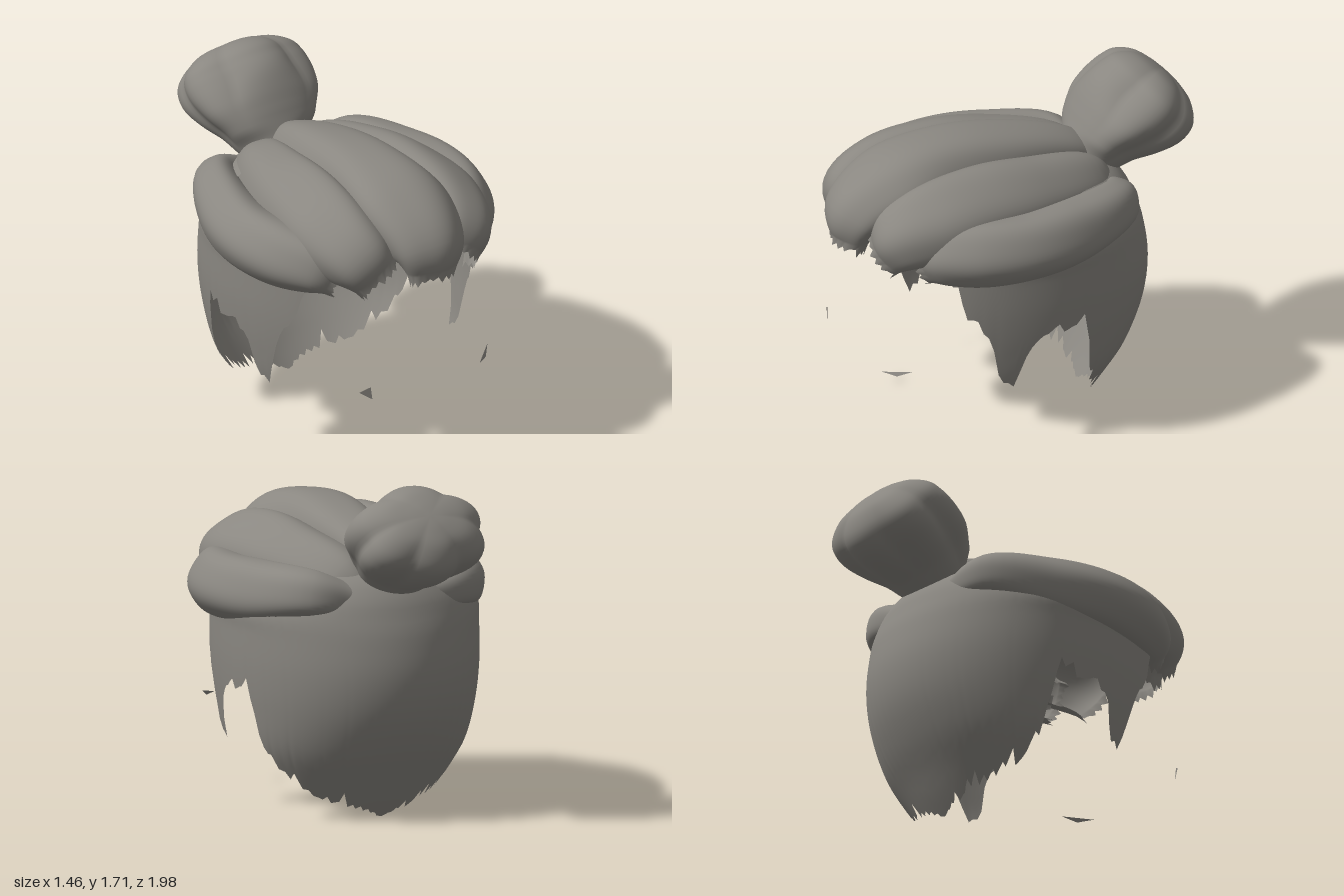
import * as THREE from 'three';
import { mergeVertices } from 'three/addons/utils/BufferGeometryUtils.js';

const { smoothstep, lerp, degToRad, clamp } = THREE.MathUtils;
const hair = new THREE.MeshStandardMaterial({ color: 0x8a8781, side: THREE.DoubleSide });
hair.name = 'ash hair';

// Smooth surface from a function of two grid indices
function surface(name, nu, nv, point) {
  const positions = [], index = [];
  for (let j = 0; j <= nv; j++)
    for (let i = 0; i <= nu; i++) positions.push(...point(i / nu, j / nv).toArray());
  for (let j = 0; j < nv; j++)
    for (let i = 0; i < nu; i++) {
      const a = j * (nu + 1) + i, b = a + 1, c = a + nu + 1, d = c + 1;
      index.push(a, c, b, b, c, d);
    }
  let geometry = new THREE.BufferGeometry();
  geometry.setAttribute('position', new THREE.Float32BufferAttribute(positions, 3));
  geometry.setIndex(index);
  geometry = mergeVertices(geometry, 1e-4);
  geometry.computeVertexNormals();
  const mesh = new THREE.Mesh(geometry, hair);
  mesh.name = name;
  return mesh;
}

// Value of column k at x in a table sorted by its first column, linear or smooth
function lookup(table, x, k, smooth = true) {
  let i = 0;
  while (i < table.length - 2 && x > table[i + 1][0]) i++;
  const [p, q] = [table[i], table[i + 1]];
  const h = q[0] - p[0], t = clamp((x - p[0]) / h, 0, 1);
  if (!smooth) return p[k] + (q[k] - p[k]) * t;
  const before = table[Math.max(i - 1, 0)], after = table[Math.min(i + 2, table.length - 1)];
  const m0 = (q[k] - before[k]) / (q[0] - before[0]) * h;
  const m1 = (after[k] - p[k]) / (after[0] - p[0]) * h;
  const t2 = t * t, t3 = t2 * t;
  return (2 * t3 - 3 * t2 + 1) * p[k] + (t3 - 2 * t2 + t) * m0 + (3 * t2 - 2 * t3) * q[k] + (t3 - t2) * m1;
}

// Repeatable uneven teeth, 0 to 1, for torn edges
const tooth = n => {
  const value = Math.abs(Math.sin(Math.floor(n / 3) * 12.9898) * 43.758) % 1;
  return value * (1 - (n % 3) / 3);
};

// Scalp: height, half width, depth to the back, depth to the front
const scalp = [
  [0, 0.38, 0.37, 0.7], [0.1, 0.43, 0.44, 0.76], [0.2, 0.5, 0.5, 0.8], [0.35, 0.58, 0.595, 0.84],
  [0.55, 0.62, 0.68, 0.86], [0.75, 0.64, 0.705, 0.87], [0.95, 0.645, 0.675, 0.86],
  [1.05, 0.645, 0.64, 0.83], [1.15, 0.59, 0.595, 0.77], [1.25, 0.46, 0.5, 0.62], [1.32, 0.28, 0.32, 0.4], [1.36, 0, 0, 0],
];
// Hairline: degrees from the nape round to the temple, lower edge height
const hairline = [
  [0, 0], [22, 0.04], [45, 0.09], [62, 0.18], [70, 0.28], [74, 0.4], [76, 0.53], [79, 0.66], [86, 0.63],
  [94, 0.63], [100, 0.58], [103, 0.48], [106, 0.34], [109, 0.32], [113, 0.46], [116, 0.63],
  [121, 0.72], [125, 0.76], [127, 0.9], [135, 0.98], [142, 1.04],
];

// Back and sides, running up under the locks
function makeScalp() {
  const columns = 150;
  return surface('scalpHair', columns, 36, (u, v) => {
    const degrees = (u * 2 - 1) * 142, around = Math.abs(degrees), angle = degToRad(degrees);
    const jag = 0.09 * tooth(Math.round(u * columns)) * Math.min(1, around / 25);
    const top = lerp(1.33, 1.1, smoothstep(around, 50, 85));
    const edge = Math.min(lookup(hairline, around, 1, false) + jag, top);
    const y = lerp(edge, top, Math.sin(v * Math.PI / 2));
    const depth = lookup(scalp, y, Math.cos(angle) > 0 ? 2 : 3);
    return new THREE.Vector3(lookup(scalp, y, 1) * Math.sin(angle), y, -depth * Math.cos(angle));
  });
}

// Lock: stations of x, y, z, half width, half thickness; an open arch swept from bun to a torn end at the brow
function makeLock(name, stations, side) {
  const path = new THREE.CatmullRomCurve3(stations.map(s => new THREE.Vector3(s[0] * side, s[1], s[2])));
  const sizes = stations.map((s, i) => [i / (stations.length - 1), s[3], s[4]]);
  const sides = 36;
  return surface(name, sides, 44, (u, v) => {
    const centre = path.getPoint(v), along = path.getTangent(v);
    const out = centre.clone().sub(new THREE.Vector3(0, 0.9, 0));
    const across = along.clone().cross(out).normalize();
    const normal = across.clone().cross(along).normalize();
    const angle = degToRad(lerp(-35, 215, u));
    const fold = 1 + 0.025 * Math.sin(angle * 5 + v * 5 + side);
    const tear = v === 1 ? 0.05 * tooth(Math.round(u * sides)) : 0;
    return centre
      .addScaledVector(across, Math.cos(angle) * lookup(sizes, v, 1) * fold)
      .addScaledVector(normal, Math.sin(angle) * lookup(sizes, v, 2) * fold)
      .addScaledVector(along, tear);
  });
}

const centreLock = [
  [0, 1.2, -0.5, 0.08, 0.08], [0, 1.29, -0.3, 0.14, 0.12], [0, 1.36, 0, 0.19, 0.14],
  [0, 1.39, 0.35, 0.22, 0.15], [0.01, 1.34, 0.65, 0.25, 0.15], [0.02, 1.2, 0.855, 0.2, 0.14], [0.02, 1.07, 0.89, 0.13, 0.08],
];
const upperLock = [
  [0.12, 1.14, -0.46, 0.07, 0.06], [0.2, 1.22, -0.35, 0.14, 0.1], [0.3, 1.27, 0, 0.19, 0.13],
  [0.345, 1.29, 0.3, 0.21, 0.13], [0.35, 1.25, 0.55, 0.21, 0.14], [0.3, 1.17, 0.73, 0.175, 0.14], [0.24, 1.08, 0.79, 0.13, 0.08],
];
const sideLock = [
  [0.22, 1.13, -0.47, 0.08, 0.07], [0.4, 1.165, -0.42, 0.12, 0.1], [0.54, 1.14, -0.12, 0.16, 0.13],
  [0.585, 1.13, 0.15, 0.165, 0.14], [0.54, 1.12, 0.39, 0.165, 0.14], [0.45, 1.1, 0.57, 0.14, 0.11], [0.38, 1.06, 0.63, 0.11, 0.07],
];

// Bun: lobed, oval ball on a flared neck, leaning back by 45 degrees
function makeBun() {
  const profile = new THREE.SplineCurve([
    [0.14, 0.07], [0.16, 0.12], [0.19, 0.2], [0.235, 0.3], [0.265, 0.4], [0.265, 0.48], [0.24, 0.55], [0.17, 0.61], [0.08, 0.635], [0, 0.64],
  ].map(p => new THREE.Vector2(...p)));
  const bun = surface('bun', 72, 40, (u, v) => {
    const p = profile.getPoint(v), angle = u * Math.PI * 2;
    const lobe = Math.abs(Math.cos(3 * (angle - Math.PI / 2) + 0.4 * Math.cos(angle)));
    const r = p.x * (1 + 0.13 * (lobe - 0.8) * smoothstep(v, 0.1, 0.5));
    const lift = 0.05 * clamp((0.5 - p.y) / 0.3, 0, 1);
    const cheek = 0.35 * Math.max(0, Math.sin(angle)) * smoothstep(p.y, 0.08, 0.16) * (1 - smoothstep(p.y, 0.22, 0.45));
    return new THREE.Vector3(Math.cos(angle) * r * (1.3 + 1.5 * cheek), p.y, Math.sin(angle) * r + lift);
  });
  bun.position.set(-0.035, 1.15, -0.42);
  bun.rotation.x = -Math.PI / 4;
  return bun;
}

// Loose wisps in front of the cheeks
function makeWisp(name, corners) {
  const geometry = new THREE.BufferGeometry();
  geometry.setAttribute('position', new THREE.Float32BufferAttribute(corners.flat(), 3));
  geometry.computeVertexNormals();
  const mesh = new THREE.Mesh(geometry, hair);
  mesh.name = name;
  return mesh;
}

export function createModel() {
  const model = new THREE.Group();
  model.name = 'hairstyle';
  model.add(makeScalp(), makeBun(), makeLock('centreLock', centreLock, 1));
  for (const [label, side] of [['left', 1], ['right', -1]]) {
    model.add(makeLock(label + 'UpperLock', upperLock, side), makeLock(label + 'SideLock', sideLock, side));
  }
  model.add(
    makeWisp('rightWisp', [[-0.37, 0.48, 0.82], [-0.31, 0.44, 0.85], [-0.32, 0.51, 0.85]]),
    makeWisp('leftWisp', [[0.33, 0.46, 0.85], [0.4, 0.455, 0.8], [0.45, 0.49, 0.74]]),
  );
  return model;
}
